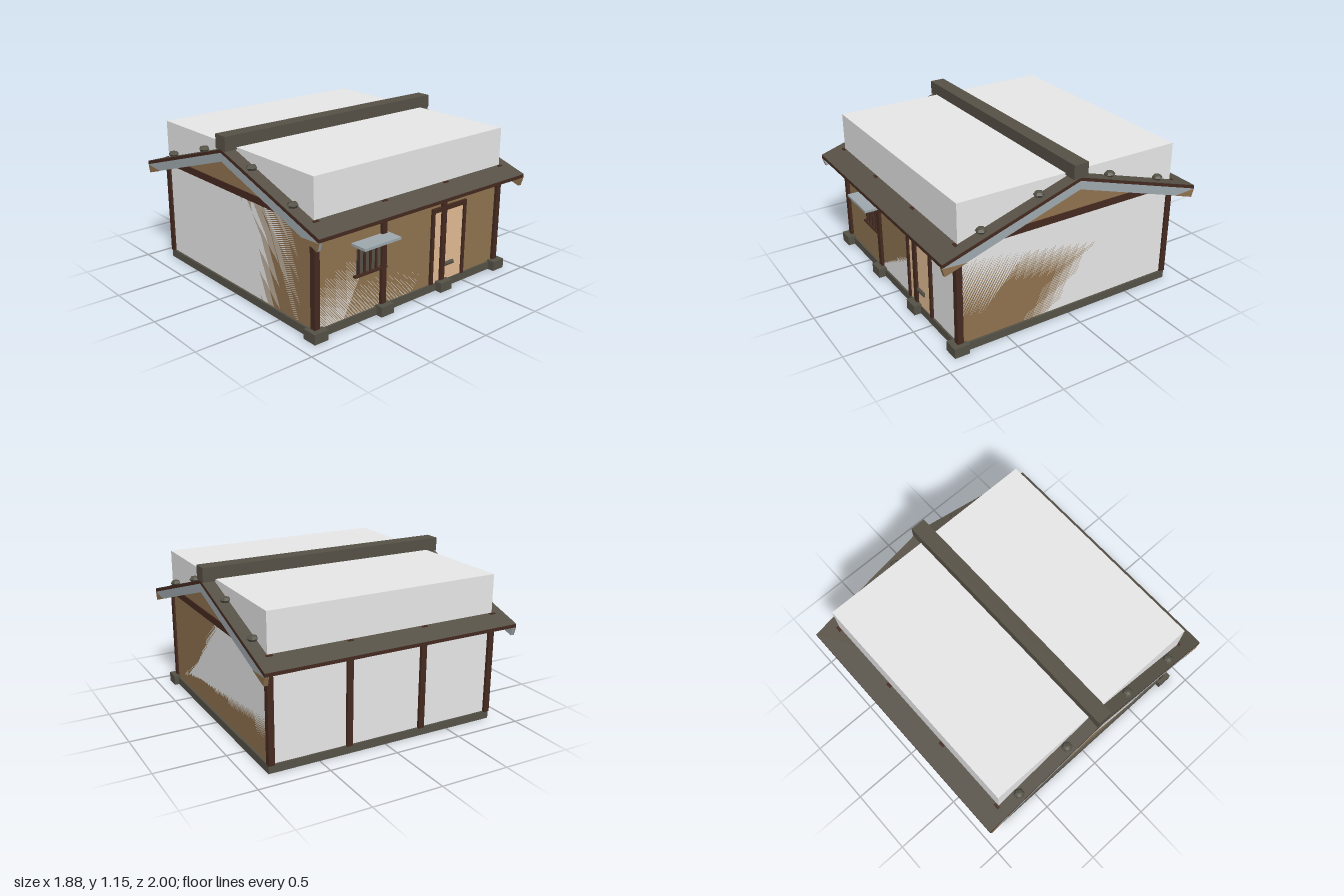
import * as THREE from 'three';

const mat = (name, color) => {
  const m = new THREE.MeshStandardMaterial({ color });
  m.name = name;
  return m;
};

export function createModel() {
  const stone = mat('dark stone', 0x555247);
  const shingle = mat('roof shingle', 0x575146);
  const timber = mat('dark timber', 0x452a20);
  const wood = mat('wall wood', 0x907350);
  const doorWood = mat('door wood', 0xe2bc94);
  const metal = mat('blue grey board', 0x9fa9ae);
  const slate = mat('soffit slate', 0x626a6c);
  const white = mat('plaster white', 0xffffff);

  const house = new THREE.Group();
  house.name = 'house';

  const add = (name, geometry, material) => {
    const mesh = new THREE.Mesh(geometry, material);
    mesh.name = name;
    house.add(mesh);
    return mesh;
  };
  // box given by its lower and upper limits
  const box = (name, material, x0, x1, y0, y1, z0, z1) => {
    const mesh = add(name, new THREE.BoxGeometry(x1 - x0, y1 - y0, z1 - z0), material);
    mesh.position.set((x0 + x1) / 2, (y0 + y1) / 2, (z0 + z1) / 2);
    return mesh;
  };
  // profile of [z, y] points swept along x
  const sweep = (name, material, points, x0, x1) => {
    const shape = new THREE.Shape(points.map(([z, y]) => new THREE.Vector2(-z, y)));
    const g = new THREE.ExtrudeGeometry(shape, { depth: x1 - x0, bevelEnabled: false });
    g.rotateY(Math.PI / 2).translate(x0, 0, 0);
    return add(name, g, material);
  };

  // plaster body flush with the wooden walls, and foundation
  box('body', white, -0.85, 0.85, 0, 1.065, -0.845, 0.845);
  box('woodWalls', wood, -0.85, 0.85, 0.056, 0.745, -0.845, 0.845);
  box('foundation', stone, -0.865, 0.865, 0, 0.058, -0.857, 0.857);

  // posts with footing stones along the front
  for (const x of [-0.845, -0.283, 0.28, 0.843]) {
    box('footing', stone, x - 0.055, x + 0.055, 0, 0.07, 0.798, 0.908);
    box('frontPost', timber, x - 0.021, x + 0.021, 0.058, 0.791, 0.823, 0.866);
    box('backPost', timber, x - 0.021, x + 0.021, 0.055, 0.791, -0.866, -0.823);
  }

  // gable ends with tie beams
  for (const s of [-1, 1]) {
    const x = s * 0.854;
    sweep('gable', wood, [[-0.76, 0.785], [0.76, 0.785], [0, 1.035]], x - 0.004, x + 0.004);
    box('tieBeam', timber, s * 0.845 - 0.02, s * 0.845 + 0.02, 0.74, 0.79, -0.843, 0.843);
  }

  // roof slopes, soffits, barge boards and ridge
  for (const s of [-1, 1]) {
    const side = (points) => points.map(([z, y]) => [z * s, y]);
    sweep('roofDeck', timber, side([[0, 1.032], [1, 0.716], [1, 0.74], [0, 1.054]]), -0.94, 0.94);
    sweep('roofCover', shingle, side([[0, 1.054], [1, 0.74], [0.999, 0.743], [0, 1.057]]), -0.939, 0.939);
    sweep('soffit', slate, side([[0.868, 0.7577], [0.99, 0.7192], [0.99, 0.7162], [0.868, 0.7547]]), -0.91, 0.91);
    for (const e of [-1, 1]) {
      sweep('bargeBoard', metal, side([[0, 1.038], [1, 0.718], [0.982, 0.657], [0, 0.972]]),
        e * 0.926 - 0.0125, e * 0.926 + 0.0125);
    }
    const end = side([[1, 0.714], [0.983, 0.655], [0.83, 0.704]]);
    sweep('leftBoardEnd', wood, end, 0.911, 0.94);
    sweep('rightBoardEnd', wood, end, -0.94, -0.935);
  }
  box('ridge', shingle, -0.94, 0.94, 1.05, 1.15, -0.055, 0.055);

  // weight stones on the roof edges
  for (const x of [-0.89, 0.878]) {
    for (const z of [-0.7, -0.28, 0.275, 0.695]) {
      const g = new THREE.SphereGeometry(0.038, 6, 4).toNonIndexed();
      g.computeVertexNormals();
      const pebble = add('roofStone', g, stone);
      pebble.scale.y = 0.6;
      pebble.position.set(x, 1.057 - 0.314 * Math.abs(z) + 0.018, z);
    }
  }

  // door
  box('door', doorWood, 0.19, 0.482, 0.058, 0.582, 0.84, 0.85);
  for (const x of [0.178, 0.492]) {
    box('doorJamb', timber, x - 0.013, x + 0.013, 0.058, 0.582, 0.84, 0.862);
  }
  box('doorLintel', timber, 0.165, 0.505, 0.582, 0.616, 0.84, 0.862);
  const handle = add('doorHandle', new THREE.CylinderGeometry(0.017, 0.017, 0.1, 8), stone);
  handle.rotation.z = Math.PI / 2;
  handle.scale.z = 0.8;
  handle.position.set(0.345, 0.176, 0.852);

  // barred window with sill and awning
  box('windowPane', shingle, -0.51, -0.285, 0.335, 0.51, 0.84, 0.849);
  for (let i = 0; i < 5; i++) {
    const x = -0.498 + i * 0.0505;
    box('windowBar', timber, x - 0.007, x + 0.007, 0.335, 0.51, 0.846, 0.86);
  }
  box('windowSill', timber, -0.535, -0.258, 0.323, 0.338, 0.84, 0.869);
  box('awning', metal, -0.552, -0.242, 0.547, 0.565, 0.84, 0.972);

  return house;
}
